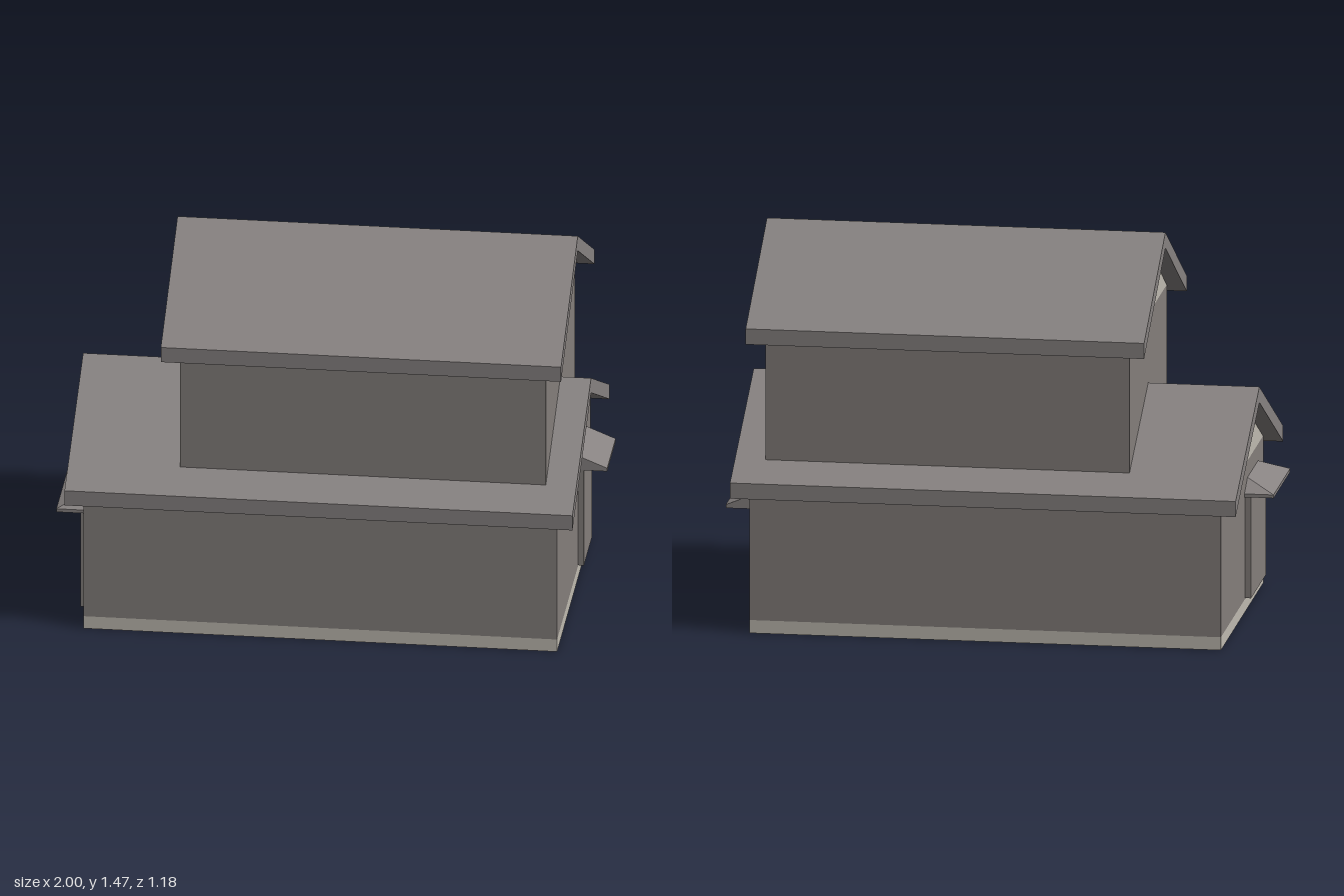
import * as THREE from 'three';
import { ConvexGeometry } from 'three/addons/geometries/ConvexGeometry.js';

export function createModel() {
  const model = new THREE.Group();
  model.name = 'house';

  const material = (name, color) => {
    const m = new THREE.MeshStandardMaterial({ color });
    m.name = name;
    return m;
  };
  const wallGrey = material('wallGrey', 0x857f7c);
  const roofGrey = material('roofGrey', 0x888382);
  const paleTrim = material('paleTrim', 0xc0bbb1);

  const add = (name, geometry, mat) => {
    const mesh = new THREE.Mesh(geometry, mat);
    mesh.name = name;
    model.add(mesh);
    return mesh;
  };

  // Box given by its minimum and maximum on each axis
  const box = (name, mat, [x0, x1], [y0, y1], [z0, z1]) =>
    add(name, new THREE.BoxGeometry(x1 - x0, y1 - y0, z1 - z0), mat)
      .position.set((x0 + x1) / 2, (y0 + y1) / 2, (z0 + z1) / 2);

  // Symmetric (z, y) outline extruded along x
  const prism = (name, mat, outline, [x0, x1]) => {
    const shape = new THREE.Shape(outline.map(([z, y]) => new THREE.Vector2(z, y)));
    const geometry = new THREE.ExtrudeGeometry(shape, { depth: x1 - x0, bevelEnabled: false });
    geometry.rotateY(Math.PI / 2).translate(x0, 0, 0);
    add(name, geometry, mat);
  };

  // One storey: walls, pale gables, oval vents and a folded roof slab
  function storey(name, s) {
    const [x0, x1] = s.x;
    box(name + 'Walls', wallGrey, s.x, s.y, [-s.depth, s.depth]);

    const slope = (s.ridge - s.eave) / s.overhang;
    const under = s.ridge - s.slab;
    const half = (under - s.y[1]) / slope + 0.01;
    prism(name + 'Gables', paleTrim, [[-half, s.y[1]], [half, s.y[1]], [0, under + 0.005]], s.x);

    for (const side of [-1, 1]) {
      const vent = new THREE.CylinderGeometry(1, 1, 0.008, 24);
      vent.rotateZ(Math.PI / 2).scale(1, 0.041, 0.055);
      add(name + 'Vent', vent, wallGrey).position.set(side > 0 ? x1 : x0, s.vent, 0);
    }

    prism(name + 'Roof', roofGrey, [
      [-s.overhang, s.eave - s.slab], [0, under], [s.overhang, s.eave - s.slab],
      [s.overhang, s.eave], [0, s.ridge], [-s.overhang, s.eave],
    ], [x0 - 0.065, x1 + 0.065]);
  }

  box('foundation', paleTrim, [-0.89, 0.89], [0, 0.05], [-0.53, 0.53]);
  storey('lower', {
    x: [-0.89, 0.89], y: [0.05, 0.567], depth: 0.53,
    ridge: 0.886, eave: 0.59, slab: 0.06, overhang: 0.592, vent: 0.742,
  });
  storey('upper', {
    x: [-0.535, 0.84], y: [0.6, 1.15], depth: 0.466,
    ridge: 1.467, eave: 1.17, slab: 0.06, overhang: 0.531, vent: 1.323,
  });

  // Doors on the two gable ends
  box('leftDoor', wallGrey, [0.88, 0.912], [0.052, 0.447], [-0.388, -0.136]);
  box('rightDoor', wallGrey, [-0.912, -0.88], [0.052, 0.447], [0.075, 0.45]);

  // Wedge awnings; inset narrows the top edge into a hip
  function awning(name, side, z0, z1, inset) {
    const points = [];
    for (const [z, inward] of [[z0, inset], [z1, -inset]]) {
      for (const [x, y] of [[0.885, 0.445], [1, 0.445], [1, 0.458], [0.885, 0.458]]) {
        points.push(new THREE.Vector3(side * x, y, z));
      }
      points.push(new THREE.Vector3(side * 0.885, 0.505, z + inward));
    }
    add(name, new ConvexGeometry(points), roofGrey);
  }
  awning('leftAwning', 1, -0.4, -0.132, 0);
  awning('rightAwning', -1, 0.055, 0.47, 0.08);

  return model;
}
